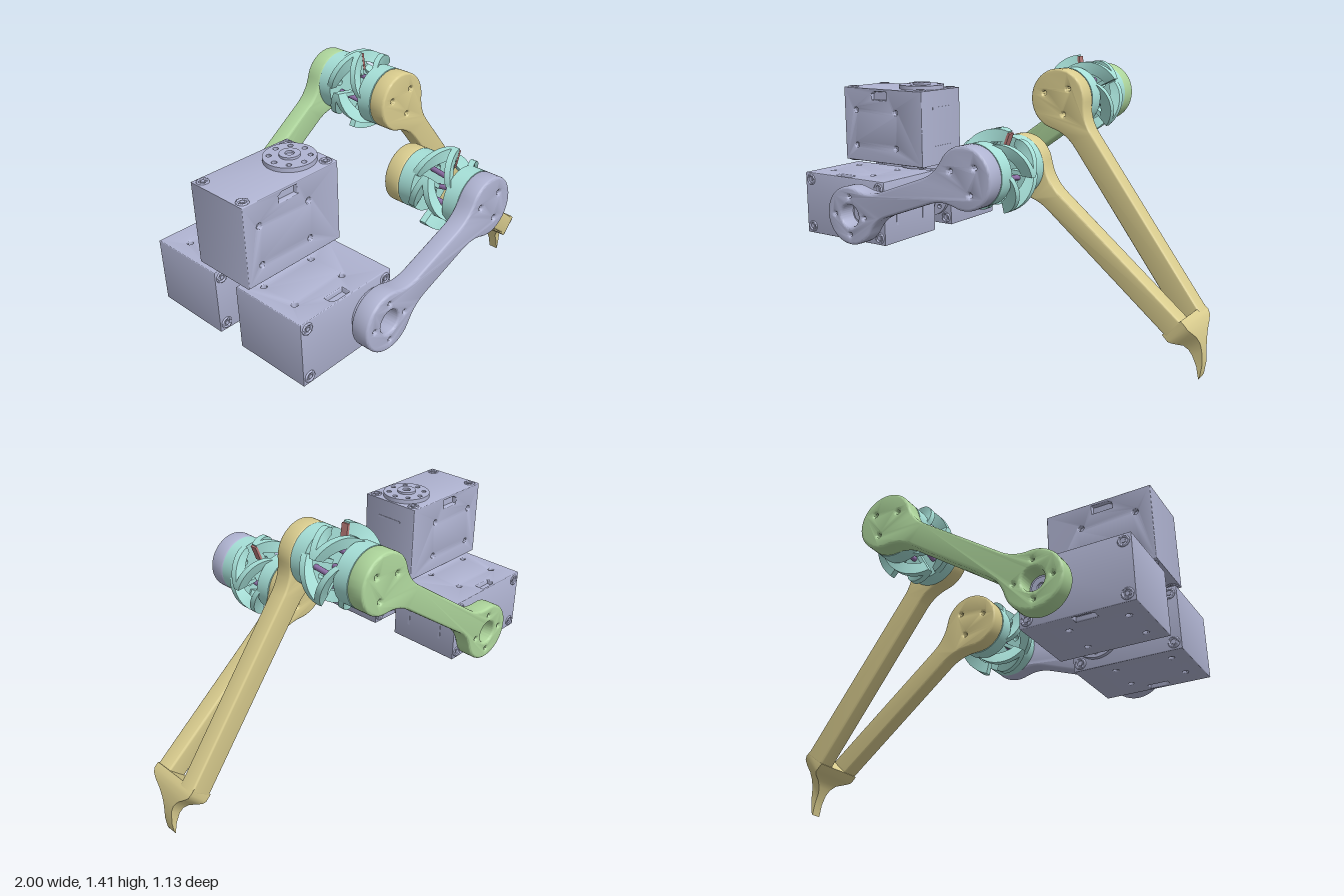
import * as THREE from 'three';
import { toCreasedNormals } from 'three/addons/utils/BufferGeometryUtils.js';

const COLORS = { steel: 0xb0b4d2, green: 0xaed69c, sand: 0xd9cc8e, teal: 0xa6e0d8, red: 0xb87a78, purple: 0x8f70a8 };
const MATS = {};
for (const k in COLORS) MATS[k] = new THREE.MeshStandardMaterial({ color: COLORS[k] });

const V2 = (x, y) => new THREE.Vector2(x, y);
const DEG = Math.PI / 180;

function add(parent, geo, mat, name, crease = 0.6) {
  const mesh = new THREE.Mesh(toCreasedNormals(geo, crease), MATS[mat]);
  mesh.name = name;
  parent.add(mesh);
  return mesh;
}

function punch(shape, x, y, r) {
  shape.holes.push(new THREE.Path().absarc(x, y, r, 0, Math.PI * 2, true));
}

// Extrude a shape between z0 and z1, with edges rounded inwards
function slab(shape, z0, z1, bevel = 0) {
  const geo = new THREE.ExtrudeGeometry(shape, {
    depth: z1 - z0 - 2 * bevel, curveSegments: 32, bevelEnabled: bevel > 0,
    bevelThickness: bevel, bevelSize: bevel, bevelOffset: -bevel, bevelSegments: 3,
  });
  return geo.translate(0, 0, z0 + bevel);
}

// Three bolt holes around a joint
function boltHoles(shape, c, r) {
  for (const a of [160, 42, -65]) punch(shape, c.x + 0.078 * Math.cos(a * DEG), c.y + 0.078 * Math.sin(a * DEG), r);
}

// Bar from a to b with a round filleted boss at each end (rb = 0: square end)
function linkShape(a, b, ra, rb, h) {
  const dir = b.clone().sub(a), len = dir.length(), phi = dir.angle();
  const al = 50 * DEG;
  const neck = (r) => {
    const t = (r * Math.sin(al) - h) / Math.cos(al);
    const cx = r * Math.cos(al) + t * Math.sin(al);
    return [V2(r * Math.cos(al), r * Math.sin(al)), V2(cx, h), V2(cx + t, h)];
  };
  const fillet = (p, q, r) => new THREE.QuadraticBezierCurve(p, q, r).getPoints(8);
  const arc = (cx, r, a0, a1) => Array.from({ length: 41 }, (_, i) => {
    const t = a0 + (a1 - a0) * i / 40;
    return V2(cx + r * Math.cos(t), r * Math.sin(t));
  });
  const flip = (p) => V2(p.x, -p.y);
  const [p, q, s] = neck(ra);
  const pts = [...arc(0, ra, al, 2 * Math.PI - al), ...fillet(flip(p), flip(q), flip(s)).slice(1)];
  if (rb) {
    const [u, v, w] = neck(rb).map((k) => V2(len - k.x, k.y));
    pts.push(...fillet(flip(w), flip(v), flip(u)), ...arc(len, rb, al - Math.PI, Math.PI - al).slice(1));
    pts.push(...fillet(u, v, w).slice(1));
  } else pts.push(V2(len, -h), V2(len, h));
  pts.push(...fillet(s, q, p).slice(0, -1));
  return new THREE.Shape(pts.map((k) => k.rotateAround(V2(0, 0), phi).add(a)));
}

// Solid skin over a row of four-cornered sections
function loft(sections) {
  const pos = sections.flat().flatMap((p) => p.toArray()), idx = [], n = sections.length;
  for (let i = 0; i < n - 1; i++) for (let j = 0; j < 4; j++) {
    const a = i * 4 + j, b = i * 4 + (j + 1) % 4;
    idx.push(a, b, b + 4, a, b + 4, a + 4);
  }
  const e = (n - 1) * 4;
  idx.push(0, 2, 1, 0, 3, 2, e, e + 1, e + 2, e, e + 2, e + 3);
  // turn the faces outwards if the enclosed volume is negative
  const v = (i) => new THREE.Vector3().fromArray(pos, i * 3);
  let vol = 0;
  for (let i = 0; i < idx.length; i += 3) vol += v(idx[i]).dot(v(idx[i + 1]).cross(v(idx[i + 2])));
  if (vol < 0) idx.reverse();
  const geo = new THREE.BufferGeometry();
  geo.setAttribute('position', new THREE.Float32BufferAttribute(pos, 3));
  geo.setIndex(idx);
  geo.computeVertexNormals();
  return geo;
}

// Servo with its output axis on local y and the body reaching to -x
function servo(name) {
  const g = new THREE.Group();
  g.name = name;
  const x0 = -0.4, x1 = 0.125, H = 0.1925, W = 0.158;
  const face = new THREE.Shape([V2(x0, -H), V2(x1, -H), V2(x1, H), V2(x0, H)]);
  for (const x of [-0.32, -0.05]) for (const y of [-0.11, 0.075]) punch(face, x, y, 0.014);
  face.holes.push(new THREE.Path([V2(-0.21, 0.135), V2(-0.21, 0.165), V2(-0.19, 0.178), V2(-0.11, 0.178), V2(-0.11, 0.135)]));
  add(g, slab(face, -W, W, 0.005), 'steel', 'servoCase');
  add(g, new THREE.BoxGeometry(0.51, 0.37, 0.27).translate((x0 + x1) / 2, 0, 0), 'steel', 'servoCore');
  for (const s of [1, -1]) {
    // corner screws
    for (const x of [x0 + 0.035, x1 - 0.035]) for (const z of [-0.122, 0.122]) {
      add(g, new THREE.TorusGeometry(0.022, 0.006, 8, 20).rotateX(Math.PI / 2).translate(x, s * H, z), 'steel', 'screwRim', 1.2);
      add(g, new THREE.CylinderGeometry(0.011, 0.011, 0.008, 6).translate(x, s * H, z), 'steel', 'screw');
    }
    // output horn and idler
    const horn = new THREE.Shape().absarc(0, 0, 0.116, 0, Math.PI * 2);
    for (let i = 0; i < 8; i++) punch(horn, 0.088 * Math.cos(i * Math.PI / 4), 0.088 * Math.sin(i * Math.PI / 4), 0.012);
    add(g, slab(horn, 0, 0.021).rotateX(-s * Math.PI / 2).translate(0, s * H, 0), 'steel', 'horn');
    const ring = new THREE.Shape().absarc(0, 0, 0.046, 0, Math.PI * 2);
    punch(ring, 0, 0, 0.02);
    add(g, slab(ring, 0, s > 0 ? 0.032 : 0.042).rotateX(-s * Math.PI / 2).translate(0, s * H, 0), 'steel', 'hub');
  }
  // end notches
  for (const y of [-0.1, 0.1]) add(g, new THREE.BoxGeometry(0.004, 0.012, 0.14).translate(x1, y, 0), 'steel', 'endRib');
  return g;
}

// Elastic joint between two links: two discs, chevron blades and inner rods
function flexJoint(name, c, zMid, tip) {
  const g = new THREE.Group();
  g.name = name;
  g.position.set(c.x, c.y, zMid);
  const disc = new THREE.Shape().absarc(0, 0, 0.145, 0, Math.PI * 2);
  boltHoles(disc, V2(0, 0), 0.016);
  add(g, slab(disc, 0.093, 0.17), 'teal', 'jointDisc');
  add(g, slab(disc, -0.17, -0.093), 'teal', 'jointDisc');
  const polar = (r, a, z) => new THREE.Vector3(r * Math.cos(a), r * Math.sin(a), z);
  for (let i = 0; i < 5; i++) for (const s of [1, -1]) {
    const rows = [];
    for (let k = 0; k <= 14; k++) {
      const t = k / 14, a = (tip + i * 72 + t * 75) * DEG;
      const z = s * 0.1 * t, ro = 0.2 - 0.058 * t * t, ri = 0.145 - 0.035 * t;
      rows.push([polar(ri, a, z - 0.016), polar(ro, a, z - 0.016), polar(ro, a, z + 0.016), polar(ri, a, z + 0.016)]);
    }
    add(g, loft(rows), 'teal', 'chevronBlade');
  }
  // inner stops at the blade tips
  for (let i = 0; i < 5; i++) {
    const stop = add(g, new THREE.BoxGeometry(0.075, 0.02, 0.032).translate(0.12, 0.011, 0), 'teal', 'stop');
    stop.rotation.z = (tip + i * 72) * DEG;
  }
  const pad = add(g, new THREE.BoxGeometry(0.085, 0.012, 0.036).translate(0.15, -0.004, 0), 'red', 'contactPad');
  pad.rotation.z = tip * DEG;
  for (let i = 0; i < 3; i++) {
    const a = (-40 + i * 120) * DEG;
    const path = new THREE.LineCurve3(polar(0.07, a, -0.1), polar(0.07, a + 0.5, 0.1));
    add(g, new THREE.TubeGeometry(path, 1, 0.013, 8), 'purple', 'innerRod', 1);
  }
  return g;
}

// Upper arm from servo to joint
function upperArm(a, b, z0, z1) {
  const shape = linkShape(a, b, 0.143, 0.145, 0.06);
  punch(shape, a.x, a.y, 0.055);
  for (let i = 0; i < 4; i++) punch(shape, a.x + 0.093 * Math.cos(i * Math.PI / 2), a.y + 0.093 * Math.sin(i * Math.PI / 2), 0.008);
  boltHoles(shape, b, 0.011);
  return slab(shape, z0, z1, 0.012);
}

export function createModel() {
  const root = new THREE.Group();
  root.name = 'twoArmLinkageRobot';
  const axis = V2(-0.6, 0.657), front = V2(0.085, 0.91), back = V2(0.187, 1.208), foot = V2(0.905, 0.25);

  // servos
  const top = servo('upperServo');
  top.position.set(axis.x, 1.033, 0);
  const f = servo('frontServo');
  f.position.set(axis.x, axis.y, 0.2625);
  f.rotation.x = Math.PI / 2;
  const b = servo('backServo');
  b.position.set(axis.x, axis.y, -0.2625);
  b.rotation.x = -Math.PI / 2;
  root.add(top, f, b);

  // arms
  add(root, upperArm(axis, front, 0.475, 0.567), 'steel', 'frontUpperArm');
  add(root, upperArm(axis, back, -0.567, -0.475), 'green', 'backUpperArm');

  // joints
  root.add(flexJoint('frontJoint', front, 0.308, 68), flexJoint('backJoint', back, -0.308, 98));

  // lower legs
  const leg = (c, h, z0, z1, name) => {
    const shape = linkShape(c, foot, 0.145, 0, h);
    boltHoles(shape, c, 0.011);
    add(root, slab(shape, z0, z1, 0.01), 'sand', name);
  };
  leg(front, 0.052, 0.05, 0.138, 'frontLeg');
  leg(back, 0.058, -0.138, -0.05, 'backLeg');

  // bridge narrowing into the foot: outer x, y, inner x, y, half width
  const rows = [
    [0.935, 0.3, 0.85, 0.22, 0.137], [0.957, 0.28, 0.877, 0.193, 0.137], [0.967, 0.262, 0.892, 0.186, 0.13],
    [0.976, 0.243, 0.908, 0.177, 0.107], [0.984, 0.215, 0.925, 0.163, 0.07], [0.992, 0.18, 0.94, 0.137, 0.042],
    [0.997, 0.14, 0.953, 0.108, 0.029], [1, 0.07, 0.973, 0.06, 0.026], [0.991, 0.012, 0.985, 0, 0.026],
  ];
  add(root, loft(rows.map(([ox, oy, ix, iy, w]) => [
    new THREE.Vector3(ox, oy, w), new THREE.Vector3(ox, oy, -w),
    new THREE.Vector3(ix, iy, -w), new THREE.Vector3(ix, iy, w),
  ])), 'sand', 'foot');
  return root;
}
